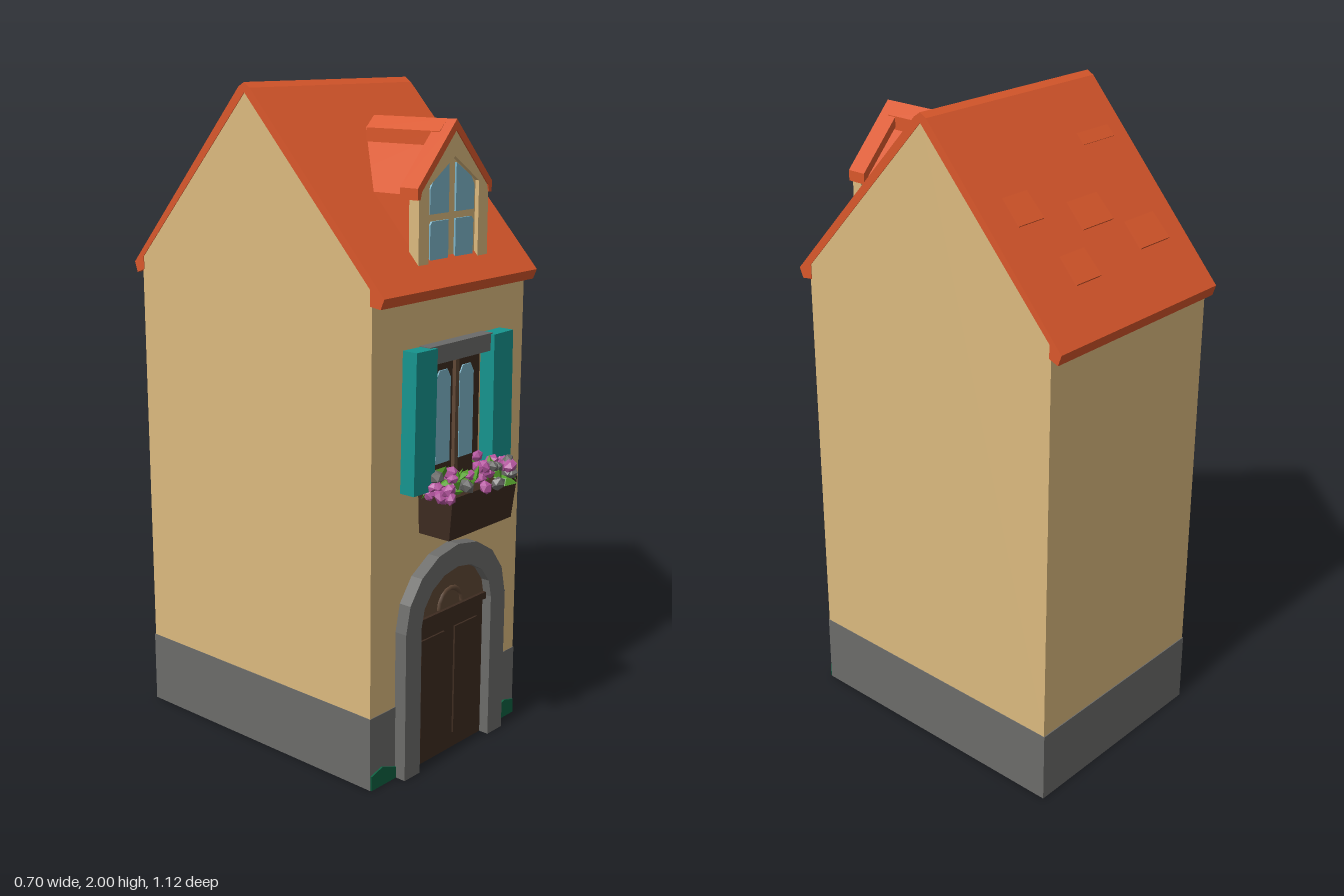
import * as THREE from 'three';

const mat = (name, color) => {
  const m = new THREE.MeshStandardMaterial({ color });
  m.name = name;
  return m;
};

export function createModel() {
  const house = new THREE.Group();
  house.name = 'townHouse';

  const plaster = mat('plaster', 0xdbb97e);
  const tile = mat('roofTile', 0xd9572b);
  const stone = mat('greyStone', 0x6b6b69);
  const teal = mat('tealPaint', 0x16948e);
  const darkWood = mat('darkWood', 0x3d2b20);
  const wood = mat('brownWood', 0x5f4735);
  const glass = mat('blueGlass', 0x7db4c8);
  const pink = mat('pinkPetal', 0xb4559f);
  const leaf = mat('leafGreen', 0x55a02c);
  const moss = mat('mossGreen', 0x0c6040);

  const add = (name, geometry, material, parent = house) => {
    const mesh = new THREE.Mesh(geometry, material);
    mesh.name = name;
    parent.add(mesh);
    return mesh;
  };
  const group = (name) => {
    const g = new THREE.Group();
    g.name = name;
    house.add(g);
    return g;
  };
  // box given by its limits on each axis
  const box = (name, x0, x1, y0, y1, z0, z1, material, parent) => {
    const g = new THREE.BoxGeometry(x1 - x0, y1 - y0, z1 - z0);
    g.translate((x0 + x1) / 2, (y0 + y1) / 2, (z0 + z1) / 2);
    return add(name, g, material, parent);
  };
  const poly = (pts) => new THREE.Shape(pts.map(([x, y]) => new THREE.Vector2(x, y)));
  // x-y outline pushed from z0 to z1
  const slab = (shape, z0, z1, segments = 5) =>
    new THREE.ExtrudeGeometry(shape, { depth: z1 - z0, bevelEnabled: false, curveSegments: segments }).translate(0, 0, z0);
  // z-y outline running across the full width
  const across = (pts, halfWidth) =>
    new THREE.ExtrudeGeometry(poly(pts), { depth: 2 * halfWidth, bevelEnabled: false })
      .rotateY(-Math.PI / 2).translate(halfWidth, 0, 0);

  // walls and plinth
  box('plinth', -0.35, 0.35, 0, 0.225, -0.533, 0.402, stone);
  add('walls', across([[-0.53, 0.225], [0.4, 0.225], [0.4, 1.475], [-0.072, 1.985], [-0.53, 1.475]], 0.348), plaster);

  // roof: one thin folded sheet with thicker eaves
  add('roof', across([
    [0.445, 1.45], [-0.05, 1.985], [-0.072, 2], [-0.094, 1.988], [-0.566, 1.45], [-0.555, 1.418],
    [-0.525, 1.43], [-0.525, 1.47], [-0.072, 1.972], [0.395, 1.47], [0.395, 1.425], [0.432, 1.42],
  ], 0.35), tile);
  // slightly lifted tiles on both slopes: [x, height, width, side]
  const tiles = group('liftedTiles');
  [[-0.2, 1.62, 0.13, -1], [0.12, 1.6, 0.1, -1], [0.2, 1.75, 0.1, -1], [-0.03, 1.7, 0.13, -1], [-0.22, 1.87, 0.14, -1],
    [-0.26, 1.62, 0.12, 1], [0.26, 1.74, 0.13, 1], [-0.25, 1.78, 0.12, 1], [0.27, 1.55, 0.1, 1]].forEach(([x, y, w, side]) => {
    const t = add('liftedTile', new THREE.BoxGeometry(w, 0.012, 0.09), tile, tiles);
    t.position.set(x, y, -0.072 + side * (1.998 - y) * 0.915);
    t.rotation.x = side * 0.79;
  });

  // dormer
  const dormer = group('dormer');
  dormer.position.x = 0.015;
  const gable = (w, bottom, eave, top) => [[-w, bottom], [w, bottom], [w, eave], [0, top], [-w, eave]];
  add('dormerBody', slab(poly(gable(0.143, 1.5, 1.7, 1.868)), 0.02, 0.365), tile, dormer);
  const front = poly(gable(0.157, 1.49, 1.715, 1.878));
  front.holes.push(new THREE.Path(gable(0.112, 1.503, 1.725, 1.8).map(([x, y]) => new THREE.Vector2(x, y))));
  add('dormerFront', slab(front, 0.355, 0.39), plaster, dormer);
  add('dormerBackPanel', slab(poly(gable(0.115, 1.5, 1.73, 1.81)), 0.355, 0.377), plaster, dormer);
  add('dormerRoofTrim', slab(poly([
    [0.168, 1.69], [0.168, 1.722], [0, 1.902], [-0.168, 1.722], [-0.168, 1.69], [-0.156, 1.69], [-0.15, 1.712], [0, 1.872], [0.15, 1.712], [0.156, 1.69],
  ]), 0.33, 0.394), tile, dormer);
  add('dormerRidgeCap', slab(poly([[-0.034, 1.8], [0.034, 1.8], [0.034, 1.868], [0, 1.902], [-0.034, 1.868]]), 0.09, 0.36), tile, dormer);
  for (const s of [-1, 1]) {
    const pane = (pts) => slab(poly(s > 0 ? pts : pts.map(([x, y]) => [-x, y]).reverse()), 0.376, 0.383);
    add('dormerLowerPane', pane([[0.016, 1.507], [0.098, 1.507], [0.098, 1.615], [0.09, 1.625], [0.016, 1.625]]), glass, dormer);
    add('dormerUpperPane', pane([[0.016, 1.645], [0.1, 1.645], [0.1, 1.715], [0.085, 1.74], [0.016, 1.782]]), glass, dormer);
  }

  // middle window with shutters
  const win = group('window');
  box('lintel', -0.145, 0.145, 1.235, 1.287, 0.395, 0.44, stone, win);
  box('windowFrame', -0.112, 0.122, 0.86, 1.236, 0.395, 0.41, darkWood, win);
  for (const [x0, x1] of [[-0.084, -0.018], [0.024, 0.09]]) {
    add('windowPane', slab(poly([
      [x0, 0.93], [x1, 0.93], [x1, 1.18], [x1 - 0.015, 1.205], [x0 + 0.015, 1.205], [x0, 1.18],
    ]), 0.408, 0.414), glass, win);
  }
  box('windowMullion', -0.005, 0.011, 0.86, 1.23, 0.4, 0.422, wood, win);
  for (const s of [-1, 1]) {
    const x = s < 0 ? -0.178 : 0.183;
    const shutter = add('shutter', new THREE.BoxGeometry(0.092, 0.41, 0.05), teal, win);
    shutter.position.set(x, 1.08, 0.428);
    shutter.rotation.z = s * 0.015;
  }

  // flower box: trough narrowing downwards
  const trough = new THREE.BoxGeometry(0.31, 0.13, 0.13);
  const tp = trough.attributes.position;
  for (let i = 0; i < tp.count; i++) {
    if (tp.getY(i) < 0) {
      tp.setX(i, tp.getX(i) * 0.96);
      if (tp.getZ(i) > 0) tp.setZ(i, 0.05);
    }
  }
  trough.computeVertexNormals();
  add('flowerBox', trough, darkWood).position.set(0.012, 0.8, 0.46);

  // flowers: seeded clump of pointed leaves and crumpled blossoms
  let seed = 7;
  const rnd = () => (seed = (seed * 16807) % 2147483647) / 2147483647;
  const flowers = group('flowers');
  const petalGeo = new THREE.IcosahedronGeometry(1, 0);
  const leafGeo = new THREE.OctahedronGeometry(1, 0);
  for (let i = 0; i < 66; i++) {
    const kind = i % 5;
    const isLeaf = kind === 1 || kind === 3;
    const m = add(isLeaf ? 'leafTip' : 'blossom', isLeaf ? leafGeo : petalGeo, isLeaf ? leaf : kind === 4 ? stone : pink, flowers);
    const a = rnd() * 2 - 1, b = rnd();
    m.position.set(0.005 + a * 0.16, 0.865 + rnd() * 0.06 - a * a * 0.012, 0.425 + b * 0.11);
    const r = 0.019 + rnd() * 0.008;
    if (isLeaf) m.scale.set(r * 1.5, r * 0.45, r * 0.9);
    else m.scale.set(r, r * 0.75, r);
    m.rotation.set(rnd() * 3, rnd() * 6, rnd() * 3);
  }

  // doorway with stone arch
  const door = group('doorway');
  const arch = new THREE.Shape();
  arch.moveTo(0.24, 0);
  arch.lineTo(0.24, 0.46);
  arch.absellipse(0, 0.46, 0.238, 0.215, 0, Math.PI, false);
  arch.lineTo(-0.238, 0);
  arch.lineTo(-0.168, 0);
  arch.lineTo(-0.168, 0.46);
  arch.absellipse(0, 0.46, 0.168, 0.145, Math.PI, 0, true);
  arch.lineTo(0.168, 0);
  add('stoneArch', slab(arch, 0.39, 0.44, 4), stone, door);
  const fan = new THREE.Shape();
  fan.moveTo(0.172, 0.46);
  fan.absellipse(0, 0.46, 0.172, 0.15, 0, Math.PI, false);
  add('doorTopPanel', slab(fan, 0.395, 0.412, 4), wood, door);
  const rim = add('doorTopRim', new THREE.TorusGeometry(0.055, 0.008, 4, 8, Math.PI), wood, door);
  rim.position.set(0, 0.475, 0.412);
  box('doorLeaf', -0.17, 0.17, 0, 0.46, 0.395, 0.408, darkWood, door);
  box('doorTransom', -0.17, 0.17, 0.45, 0.472, 0.4, 0.422, darkWood, door);
  for (const s of [-1, 1]) {
    box('doorPanel', s * 0.08 - 0.055, s * 0.08 + 0.055, 0.05, 0.4, 0.4, 0.414, darkWood, door);
  }

  // moss at the foot of the front corners
  for (const s of [-1, 1]) {
    const pts = [[0.238, 0], [0.348, 0], [0.348, 0.045], [0.3, 0.058], [0.238, 0.035]];
    add('mossPatch', slab(poly(s > 0 ? pts : pts.map(([x, y]) => [-x, y]).reverse()), 0.4, 0.407), moss);
  }

  return house;
}
